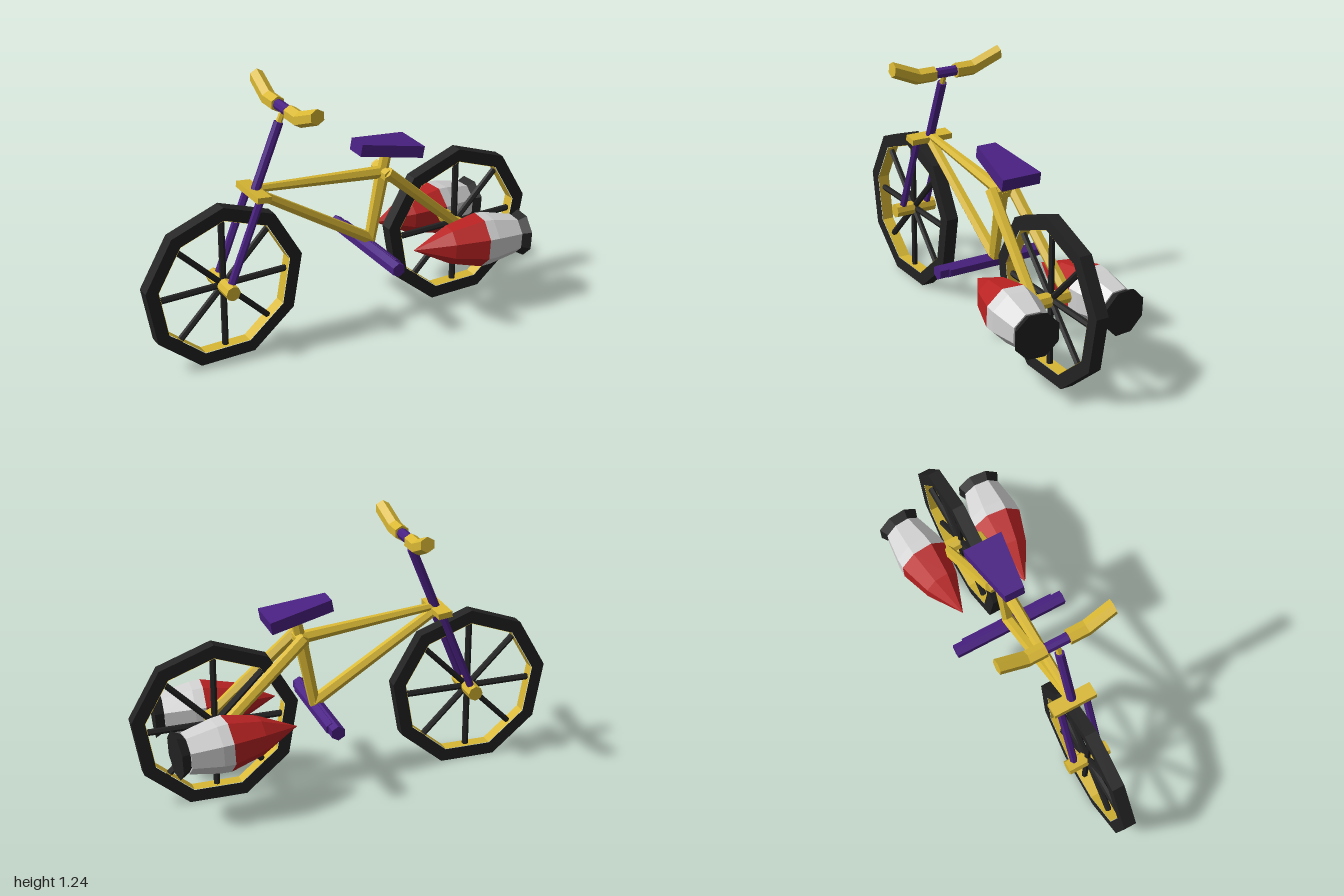
import * as THREE from 'three';

const mat = (name, color, side = THREE.FrontSide) => {
  const m = new THREE.MeshStandardMaterial({ color, flatShading: true, side });
  m.name = name;
  return m;
};

export function createModel() {
  const yellow = mat('yellow', 0xd9b834, THREE.DoubleSide);
  const purple = mat('purple', 0x4a2183);
  const black = mat('black', 0x222222);
  const red = mat('red', 0xb92222);
  const white = mat('lightGrey', 0xd2d2d2);

  const bike = new THREE.Group();
  bike.name = 'rocketBicycle';

  const add = (parent, name, geometry, material) => {
    const m = new THREE.Mesh(geometry, material);
    m.name = name;
    parent.add(m);
    return m;
  };

  // Straight faceted tube between two points, optionally tapered
  const tube = (parent, name, a, b, r0, r1, material, sides = 6) => {
    const p = new THREE.Vector3(...a), q = new THREE.Vector3(...b);
    const d = q.clone().sub(p);
    const m = add(parent, name, new THREE.CylinderGeometry(r1, r0, d.length(), sides), material);
    m.position.copy(p).add(q).multiplyScalar(0.5);
    m.quaternion.setFromUnitVectors(new THREE.Vector3(0, 1, 0), d.normalize());
    return m;
  };

  // Nine-sided wheels with eight spokes
  const ring = (r) => Array.from({ length: 9 }, (_, i) => {
    const a = (i * Math.PI * 2) / 9;
    return new THREE.Vector2(r * Math.sin(a), r * Math.cos(a));
  });
  const wheel = (name, x) => {
    const g = new THREE.Group();
    g.name = name;
    g.position.set(x, 0.37, 0);
    const shape = new THREE.Shape(ring(0.39));
    shape.holes.push(new THREE.Path(ring(0.328)));
    const tyre = new THREE.ExtrudeGeometry(shape, { depth: 0.06, bevelEnabled: false });
    add(g, 'tyre', tyre.translate(0, 0, -0.03), black);
    const rim = new THREE.CylinderGeometry(0.326, 0.326, 0.058, 9, 1, true);
    add(g, 'rim', rim.rotateX(-Math.PI / 2), yellow);
    for (let i = 0; i < 8; i++) {
      const a = (i * Math.PI) / 4;
      const r = i % 2 ? 0.318 : 0.315;
      tube(g, 'spoke', [0, 0, 0], [r * Math.cos(a), r * Math.sin(a), 0], 0.015, 0.015, black);
    }
    tube(g, 'hub', [0, 0, -0.105], [0, 0, 0.105], 0.035, 0.035, yellow, 8);
    bike.add(g);
  };
  wheel('frontWheel', -0.616);
  wheel('rearWheel', 0.616);

  // Fork, crown and steering column
  for (const s of [-1, 1]) {
    tube(bike, 'forkLeg', [-0.616, 0.37, s * 0.065], [-0.447, 0.785, s * 0.065], 0.018, 0.018, purple);
  }
  const crown = add(bike, 'forkCrown', new THREE.BoxGeometry(0.068, 0.028, 0.21), yellow);
  crown.position.set(-0.452, 0.786, 0);
  crown.rotation.z = -0.12;
  tube(bike, 'steeringColumn', [-0.455, 0.765, 0], [-0.322, 1.09, 0], 0.022, 0.022, purple, 8);
  tube(bike, 'stem', [-0.325, 1.08, 0], [-0.295, 1.147, 0], 0.014, 0.014, yellow);

  // Handlebar: purple clamp with bent six-sided grips
  tube(bike, 'barClamp', [-0.295, 1.147, -0.065], [-0.295, 1.147, 0.065], 0.025, 0.025, purple, 8);
  const hex = (c, z, lean) => Array.from({ length: 6 }, (_, i) => {
    const a = (i * Math.PI) / 3 + Math.PI / 6;
    const u = 0.036 * Math.cos(a), v = 0.036 * Math.sin(a);
    return [c[0] + u, c[1] + v, z - v * lean];
  });
  const grip = (s) => {
    const rows = [
      hex([-0.295, 1.147], 0.055, 0),
      hex([-0.295, 1.147], 0.145, 0.2),
      hex([-0.284, 1.203], 0.277, 0.1),
    ];
    const pos = [];
    const tri = (a, b, c) => {
      for (const p of s > 0 ? [a, b, c] : [a, c, b]) pos.push(p[0], p[1], p[2] * s);
    };
    for (let r = 0; r < 2; r++) {
      for (let i = 0; i < 6; i++) {
        const j = (i + 1) % 6;
        tri(rows[r][i], rows[r][j], rows[r + 1][j]);
        tri(rows[r][i], rows[r + 1][j], rows[r + 1][i]);
      }
    }
    for (let i = 1; i < 5; i++) {
      tri(rows[0][0], rows[0][i + 1], rows[0][i]);
      tri(rows[2][0], rows[2][i], rows[2][i + 1]);
    }
    const g = new THREE.BufferGeometry();
    g.setAttribute('position', new THREE.Float32BufferAttribute(pos, 3));
    g.computeVertexNormals();
    add(bike, s > 0 ? 'leftGrip' : 'rightGrip', g, yellow);
  };
  grip(1);
  grip(-1);

  // Frame
  tube(bike, 'topTube', [-0.455, 0.8, 0], [0.215, 0.728, 0], 0.018, 0.03, yellow);
  tube(bike, 'downTube', [-0.45, 0.782, 0], [0.15, 0.4, 0], 0.024, 0.029, yellow);
  tube(bike, 'seatTube', [0.14, 0.375, 0], [0.212, 0.74, 0], 0.026, 0.033, yellow);
  tube(bike, 'seatPost', [0.205, 0.71, 0], [0.235, 0.85, 0], 0.026, 0.026, yellow);
  tube(bike, 'stayBridge', [0.212, 0.728, -0.06], [0.212, 0.728, 0.06], 0.03, 0.03, yellow);
  for (const s of [-1, 1]) {
    tube(bike, 'rearStay', [0.205, 0.745, s * 0.052], [0.616, 0.37, s * 0.085], 0.029, 0.026, yellow);
  }

  // Pedal bar
  tube(bike, 'pedalBar', [0.127, 0.37, -0.288], [0.127, 0.37, 0.285], 0.034, 0.034, purple);
  tube(bike, 'pedalSleeve', [0.139, 0.37, -0.236], [0.139, 0.37, 0.24], 0.03, 0.03, purple);

  // Wedge saddle, widening toward the back
  const saddleGeo = new THREE.BoxGeometry(0.306, 0.056, 1);
  const sp = saddleGeo.attributes.position;
  for (let i = 0; i < sp.count; i++) sp.setZ(i, Math.sign(sp.getZ(i)) * (sp.getX(i) < 0 ? 0.048 : 0.097));
  const saddle = add(bike, 'saddle', saddleGeo, purple);
  saddle.position.set(0.22, 0.855, 0);
  saddle.rotation.z = -0.18;

  // Rocket boosters, splayed outward toward the back
  const axis = [0.28, 0.377, 0.168];
  for (const s of [-1, 1]) {
    const g = new THREE.Group();
    g.name = s > 0 ? 'leftRocket' : 'rightRocket';
    g.position.set(axis[0], axis[1], s * axis[2]);
    const dir = new THREE.Vector3(0.57, -0.027, s * 0.052).normalize();
    g.quaternion.setFromUnitVectors(new THREE.Vector3(1, 0, 0), dir);
    const stage = (name, points, material) => {
      const geo = new THREE.LatheGeometry(points.map(([r, y]) => new THREE.Vector2(r, y)), 8, Math.PI / 8);
      add(g, name, geo.rotateZ(-Math.PI / 2), material);
    };
    stage('noseCone', [[0, 0], [0.09, 0.18], [0.128, 0.34]], red);
    stage('body', [[0.128, 0.34], [0.124, 0.39], [0.094, 0.53], [0, 0.53]], white);
    stage('nozzle', [[0.086, 0.528], [0.11, 0.574], [0, 0.574]], black);
    bike.add(g);
  }

  return bike;
}
